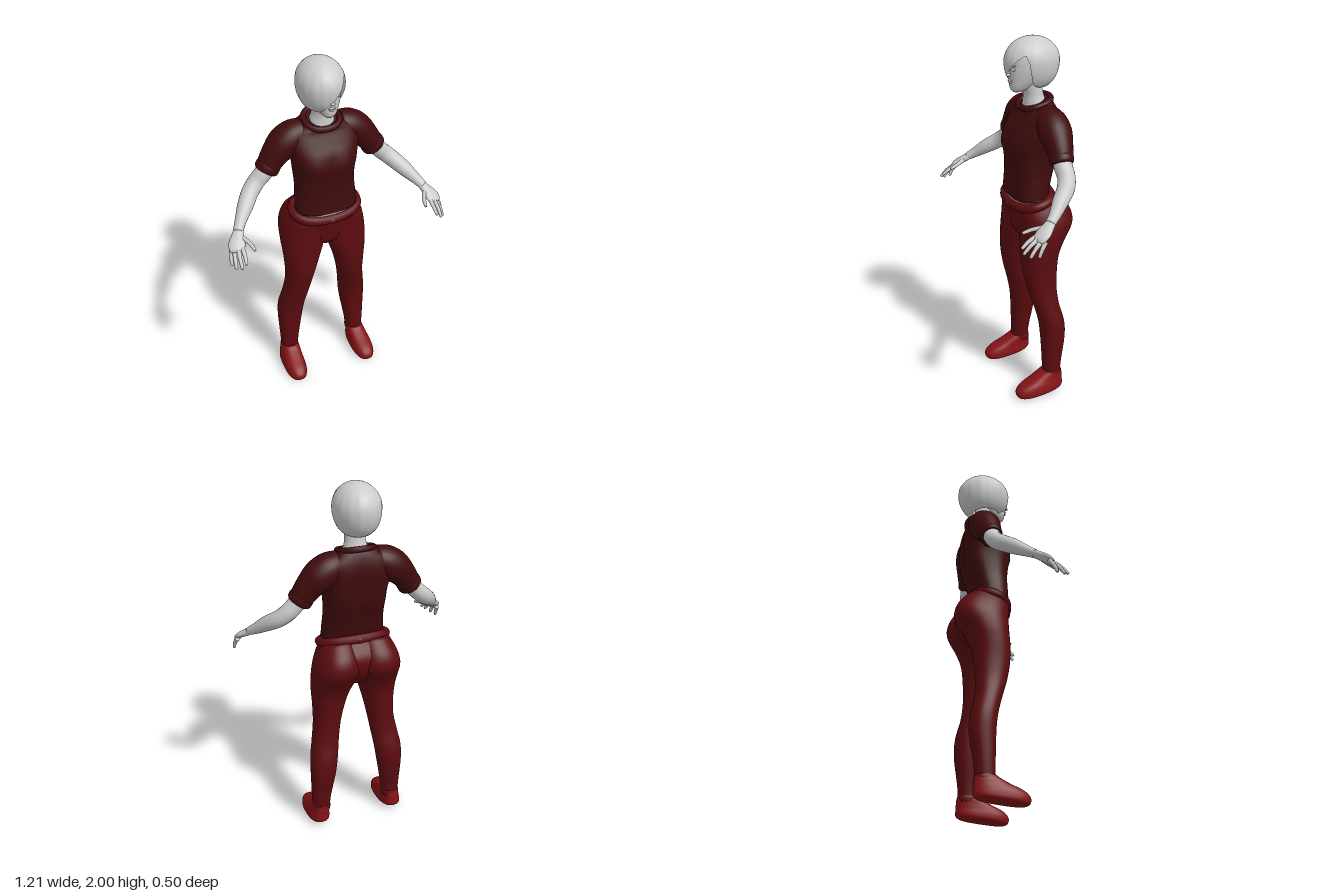
import * as THREE from 'three';

const V = (x, y, z) => new THREE.Vector3(x, y, z);
const mat = (name, color, side = THREE.FrontSide) => {
  const m = new THREE.MeshStandardMaterial({ color, side });
  m.name = name;
  return m;
};

// Catmull-Rom resampling of rows of numbers
function smoothRows(rows, n = 5) {
  const out = [], at = i => rows[Math.min(Math.max(i, 0), rows.length - 1)];
  for (let i = 0; i < rows.length - 1; i++) {
    for (let k = 0; k < n; k++) {
      const t = k / n;
      out.push(rows[i].map((b, c) => {
        const a = at(i - 1)[c], d = at(i + 1)[c], e = at(i + 2)[c];
        return b + 0.5 * t * (d - a + t * (2 * a - 5 * b + 4 * d - e + t * (3 * (b - d) + e - a)));
      }));
    }
  }
  out.push(rows[rows.length - 1]);
  return out;
}

// Skin a list of closed rings; optional end caps
function skin(rings, caps = true) {
  const n = rings[0].length, pos = [], idx = [];
  rings.forEach(r => r.forEach(p => pos.push(p.x, p.y, p.z)));
  for (let i = 0; i < rings.length - 1; i++) {
    for (let j = 0; j < n; j++) {
      const a = i * n + j, b = i * n + (j + 1) % n;
      idx.push(a, b, b + n, a, b + n, a + n);
    }
  }
  if (caps) {
    [0, rings.length - 1].forEach((ri, end) => {
      const c = rings[ri].reduce((s, p) => s.add(p), V(0, 0, 0)).divideScalar(n);
      const ci = pos.length / 3;
      pos.push(c.x, c.y, c.z);
      for (let j = 0; j < n; j++) {
        const a = ri * n + j, b = ri * n + (j + 1) % n;
        idx.push(ci, end ? a : b, end ? b : a);
      }
    });
  }
  const g = new THREE.BufferGeometry();
  g.setAttribute('position', new THREE.Float32BufferAttribute(pos, 3));
  g.setIndex(idx);
  g.computeVertexNormals();
  return g;
}

const power = (v, e) => Math.sign(v) * Math.pow(Math.abs(v), 2 / e);

// Upright body from rows [y, xMin, xMax, zBack, zFront, tilt], listed upwards
function body(rows, e = 2.3, bump = null, n = 40) {
  return skin(smoothRows(rows).map(([y, x0, x1, z0, z1, tilt]) =>
    Array.from({ length: n }, (_, j) => {
      const a = j / n * Math.PI * 2, s = power(Math.sin(a), e), c = power(Math.cos(a), e);
      const p = V((x0 + x1) / 2 + s * (x1 - x0) / 2, y + (tilt || 0) * c, (z0 + z1) / 2 + c * (z1 - z0) / 2);
      if (bump) bump(p, c);
      return p;
    })));
}
const even = rows => rows.map(([y, w, z0, z1, tilt = 0]) => [y, -w, w, z0, z1, tilt]);

// Limb along a path from rows [x, y, z, radiusU, radiusV]
function limb(rows, ref = V(0, 1, 0), n = 20) {
  const r = smoothRows(rows), c = r.map(q => V(q[0], q[1], q[2]));
  return skin(r.map((q, i) => {
    const t = c[Math.min(i + 1, c.length - 1)].clone().sub(c[Math.max(i - 1, 0)]).normalize();
    const u = ref.clone().cross(t).normalize(), v = u.clone().cross(t);
    return Array.from({ length: n }, (_, j) => {
      const a = j / n * Math.PI * 2;
      return c[i].clone().addScaledVector(u, Math.sin(a) * q[3]).addScaledVector(v, Math.cos(a) * q[4]);
    });
  }));
}

// Closed tilted band round the body
function band(rx, z0, z1, y, tilt, r) {
  const pts = Array.from({ length: 24 }, (_, i) => {
    const a = i / 24 * Math.PI * 2, c = Math.cos(a);
    return V(rx * power(Math.sin(a), 2.3), y + tilt * c, (z0 + z1) / 2 + power(c, 2.3) * (z1 - z0) / 2);
  });
  return new THREE.TubeGeometry(new THREE.CatmullRomCurve3(pts, true), 72, r, 10, true);
}

// Bob with a swept fringe: hem height depends on the angle from the front
function hairGeometry() {
  const hem = [[-180, 1.735], [-90, 1.75], [-40, 1.752], [-15, 1.745], [0, 1.8], [20, 1.855], [40, 1.9],
    [55, 1.925], [64, 1.885], [72, 1.765], [90, 1.75], [180, 1.735]];
  const hemAt = d => {
    const i = Math.max(1, hem.findIndex(h => h[0] >= d)), [a, b] = [hem[i - 1], hem[i]];
    return a[1] + (b[1] - a[1]) * (d - a[0]) / (b[0] - a[0]);
  };
  const n = 96, m = 28, rings = [];
  for (let i = m; i >= 0; i--) {
    rings.push(Array.from({ length: n }, (_, j) => {
      const d = j / n * 360, deg = d > 180 ? d - 360 : d, a = d * Math.PI / 180;
      const h = (hemAt(deg) - 1.875) / (hemAt(deg) > 1.875 ? 0.125 : 0.145);
      const phi = Math.max(0.001, Math.acos(h) * i / m), cos = Math.cos(phi);
      const s = Math.pow(Math.sin(phi), cos < 0 ? 0.7 : 1) * (1 + 0.006 * Math.sin(a * 16) * Math.sin(phi));
      return V(-0.01 + 0.122 * s * Math.sin(a), 1.875 + cos * (cos > 0 ? 0.125 : 0.145), -0.075 + 0.148 * s * Math.cos(a));
    }));
  }
  return skin(rings, false);
}

export function createModel() {
  const model = new THREE.Group();
  model.name = 'standingFigure';
  const skinMat = mat('paleSkin', 0xcacaca), hairMat = mat('paleHair', 0xcccccc, THREE.DoubleSide);
  const shirtMat = mat('darkShirt', 0x400b0d), pantsMat = mat('redPants', 0x5c0c0f), shoeMat = mat('redShoes', 0x861316);
  const add = (name, g, m) => {
    const mesh = new THREE.Mesh(g, m);
    mesh.name = name;
    model.add(mesh);
    return mesh;
  };
  const pair = (name, g, m) => {
    const r = g.clone().scale(-1, 1, 1), ix = r.index.array;
    for (let i = 0; i < ix.length; i += 3) [ix[i], ix[i + 1]] = [ix[i + 1], ix[i]];
    r.computeVertexNormals();
    add(name + 'Left', g, m);
    add(name + 'Right', r, m);
  };
  const blob = (name, x, y, z, a, b, c, m) => {
    add(name, new THREE.SphereGeometry(1, 16, 12).scale(a, b, c).translate(x, y, z), m);
  };

  // Head, face and neck
  add('head', body(even([[1.725, 0.022, -0.02, 0.036], [1.745, 0.042, -0.06, 0.05], [1.79, 0.065, -0.12, 0.053],
    [1.85, 0.08, -0.16, 0.054], [1.92, 0.078, -0.17, 0.045], [1.97, 0.04, -0.12, -0.01]]), 2.2), skinMat);
  blob('noseBridge', 0, 1.835, 0.053, 0.008, 0.025, 0.011, skinMat);
  blob('noseTip', 0, 1.815, 0.062, 0.012, 0.009, 0.013, skinMat);
  blob('upperLip', 0, 1.786, 0.053, 0.02, 0.005, 0.009, skinMat);
  blob('lowerLip', 0, 1.776, 0.052, 0.016, 0.006, 0.009, skinMat);
  for (const s of [-1, 1]) {
    blob('eye', s * 0.032, 1.846, 0.047, 0.014, 0.007, 0.007, skinMat);
    blob('brow', s * 0.034, 1.866, 0.047, 0.02, 0.004, 0.008, skinMat);
  }
  add('neck', body(even([[1.6, 0.08, -0.15, -0.02], [1.66, 0.066, -0.145, -0.025], [1.71, 0.054, -0.13, -0.025],
    [1.78, 0.052, -0.12, 0]]), 2), skinMat);
  add('hair', hairGeometry(), hairMat);

  // Shirt: torso with bust and spine groove, sleeves, collar and hems
  add('shirtTorso', body(even([[1.165, 0.17, -0.13, 0.06, -0.008], [1.22, 0.166, -0.138, 0.057], [1.3, 0.16, -0.16, 0.055],
    [1.38, 0.162, -0.19, 0.062], [1.44, 0.168, -0.2, 0.075], [1.5, 0.182, -0.2, 0.055], [1.56, 0.195, -0.198, 0.02],
    [1.61, 0.18, -0.19, -0.008], [1.645, 0.13, -0.175, -0.015, -0.01], [1.668, 0.095, -0.155, -0.02, -0.024]]), 2.7, (p, c) => {
    const mid = Math.exp(-((p.x / 0.035) ** 2));
    if (c > 0.3) p.z -= 0.014 * mid * Math.exp(-(((p.y - 1.45) / 0.05) ** 2));
    if (c < -0.3) p.z += 0.018 * mid * Math.exp(-(((p.y - 1.46) / 0.12) ** 2));
  }), shirtMat);
  pair('sleeve', limb([[0.09, 1.6, -0.1, 0.07, 0.07], [0.15, 1.58, -0.105, 0.085, 0.085], [0.205, 1.545, -0.105, 0.085, 0.086],
    [0.255, 1.495, -0.1, 0.071, 0.073], [0.305, 1.425, -0.092, 0.059, 0.058]], V(0, 0, 1), 28), shirtMat);
  pair('sleeveHem', limb([[0.287, 1.45, -0.095, 0.061, 0.06], [0.291, 1.444, -0.094, 0.066, 0.063],
    [0.304, 1.424, -0.092, 0.065, 0.062], [0.31, 1.415, -0.091, 0.057, 0.055]], V(0, 0, 1), 28), shirtMat);
  add('collar', band(0.092, -0.165, -0.008, 1.662, -0.024, 0.016), shirtMat);
  add('shirtHem', band(0.168, -0.128, 0.057, 1.17, -0.008, 0.006), shirtMat);

  // Arms, hands and fingers
  pair('arm', limb([[0.27, 1.47, -0.095, 0.048, 0.048], [0.325, 1.405, -0.09, 0.048, 0.046], [0.365, 1.365, -0.086, 0.046, 0.045],
    [0.41, 1.325, -0.06, 0.045, 0.044], [0.455, 1.285, -0.008, 0.041, 0.04], [0.5, 1.24, 0.045, 0.03, 0.029],
    [0.527, 1.212, 0.085, 0.026, 0.022]]), skinMat);
  pair('palm', limb([[0.52, 1.218, 0.075, 0.025, 0.021], [0.535, 1.2, 0.1, 0.032, 0.02], [0.55, 1.18, 0.13, 0.042, 0.018],
    [0.56, 1.16, 0.157, 0.04, 0.015], [0.565, 1.148, 0.17, 0.03, 0.008]]), skinMat);
  const fingers = {
    thumb: [[0.52, 1.195, 0.115], [0.492, 1.182, 0.165], [0.482, 1.168, 0.207]],
    indexFinger: [[0.533, 1.168, 0.15], [0.534, 1.146, 0.2], [0.538, 1.118, 0.238]],
    middleFinger: [[0.553, 1.162, 0.155], [0.56, 1.135, 0.202], [0.562, 1.1, 0.24]],
    ringFinger: [[0.571, 1.153, 0.152], [0.581, 1.123, 0.187], [0.585, 1.086, 0.215]],
    littleFinger: [[0.584, 1.15, 0.137], [0.594, 1.118, 0.16], [0.597, 1.084, 0.175]],
  };
  for (const [name, [a, b, c]] of Object.entries(fingers)) {
    const tip = c.map((v, i) => v + (c[i] - b[i]) * 0.1);
    pair(name, limb([[...a, 0.013, 0.013], [...b, 0.0105, 0.0105], [...c, 0.008, 0.008], [...tip, 0.002, 0.002]], V(0, 1, 0), 10), skinMat);
  }

  // Bare belly between shirt and belt
  add('belly', body(even([[1.09, 0.17, -0.13, 0.04], [1.15, 0.165, -0.125, 0.053], [1.21, 0.155, -0.12, 0.048]])), skinMat);

  // Trousers: pelvis, legs, rolled waistband and its knot
  add('pelvis', body(even([[0.905, 0.04, -0.13, -0.01], [0.95, 0.12, -0.18, 0.025], [1.03, 0.205, -0.218, 0.038],
    [1.09, 0.21, -0.21, 0.047, -0.015], [1.145, 0.187, -0.15, 0.055, -0.03]])), pantsMat);
  pair('leg', body([[0.11, 0.165, 0.26, -0.15, -0.05, 0], [0.2, 0.155, 0.265, -0.156, -0.05, 0], [0.35, 0.13, 0.27, -0.178, -0.045, 0],
    [0.45, 0.115, 0.268, -0.174, -0.035, 0], [0.55, 0.1, 0.25, -0.15, -0.01, 0], [0.65, 0.085, 0.233, -0.142, 0.02, 0],
    [0.75, 0.063, 0.231, -0.147, 0.04, 0], [0.85, 0.033, 0.238, -0.16, 0.045, 0], [0.93, 0.004, 0.243, -0.195, 0.042, 0],
    [1.02, -0.01, 0.238, -0.247, 0.04, 0], [1.09, 0, 0.217, -0.232, 0.043, -0.01], [1.145, 0.01, 0.187, -0.165, 0.045, -0.03]]), pantsMat);
  add('waistband', band(0.182, -0.145, 0.052, 1.148, -0.033, 0.025), pantsMat);
  blob('waistKnot', 0, 1.113, 0.062, 0.035, 0.022, 0.02, pantsMat);
  blob('backKnot', 0, 1.178, -0.155, 0.025, 0.02, 0.018, pantsMat);
  pair('trouserHem', body([[0.105, 0.163, 0.262, -0.154, -0.046, 0], [0.125, 0.161, 0.265, -0.157, -0.044, 0],
    [0.14, 0.164, 0.261, -0.152, -0.05, 0]]), pantsMat);

  // Shoes
  pair('shoe', body([[0.012, 0.17, 0.275, -0.14, 0.1, -0.012], [0.022, 0.16, 0.285, -0.157, 0.118, -0.012],
    [0.045, 0.158, 0.285, -0.162, 0.12, -0.005], [0.07, 0.161, 0.28, -0.16, 0.09, 0], [0.095, 0.163, 0.272, -0.16, 0.035, 0],
    [0.12, 0.163, 0.266, -0.158, -0.015, 0], [0.138, 0.168, 0.26, -0.153, -0.043, 0]], 2.5), shoeMat);
  return model;
}
